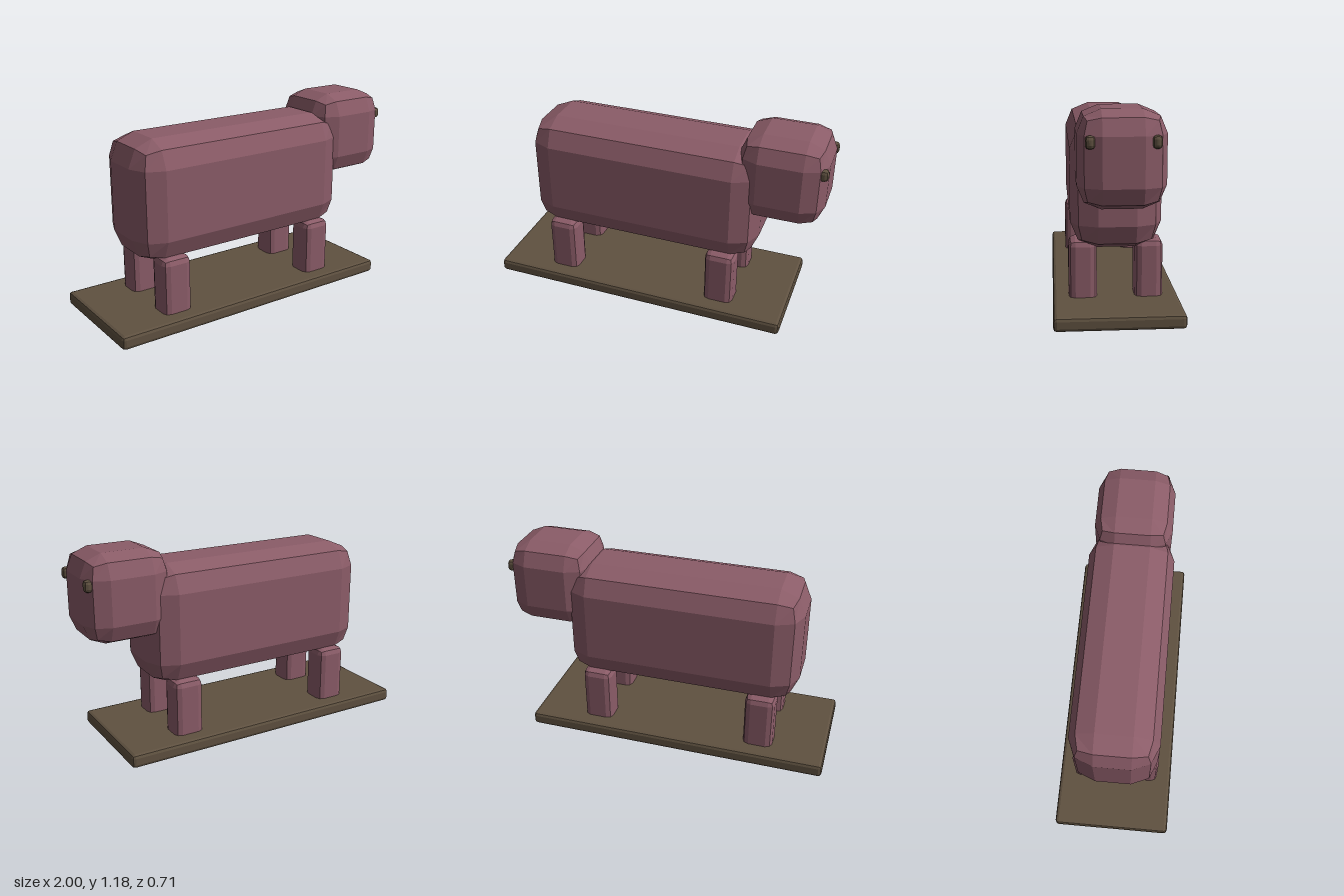
import * as THREE from 'three';
import { RoundedBoxGeometry } from 'three/addons/geometries/RoundedBoxGeometry.js';

const pink = new THREE.MeshStandardMaterial({ color: 0x8b5c68 });
pink.name = 'dusty pink';
const brown = new THREE.MeshStandardMaterial({ color: 0x5f5140 });
brown.name = 'olive brown';

// Faceted bevelled block spanning [min, max] on each axis
function block(name, material, [x0, x1], [y0, y1], [z0, z1], radius) {
  const geometry = new RoundedBoxGeometry(x1 - x0, y1 - y0, z1 - z0, 1, radius);
  geometry.computeVertexNormals(); // unshared vertices, so each facet is flat
  const mesh = new THREE.Mesh(geometry, material);
  mesh.name = name;
  mesh.position.set((x0 + x1) / 2, (y0 + y1) / 2, (z0 + z1) / 2);
  return mesh;
}

export function createModel() {
  const model = new THREE.Group();
  model.name = 'animalFigure';

  // Stand
  model.add(block('base', brown, [-1, 0.845], [0, 0.08], [-0.357, 0.357], 0.02));

  // Body and head, facing +x
  model.add(block('body', pink, [-0.795, 0.635], [0.365, 1.077], [-0.256, 0.256], 0.15));
  model.add(block('head', pink, [0.49, 0.995], [0.67, 1.18], [-0.23, 0.23], 0.125));

  for (const side of [1, -1]) {
    const sideName = side > 0 ? 'Near' : 'Far';
    const span = (inner, outer) => (side > 0 ? [inner, outer] : [-outer, -inner]);

    // Legs, sunk into the stand
    for (const [name, x] of [['frontLeg', 0.435], ['backLeg', -0.59]]) {
      model.add(block(name + sideName, pink, [x - 0.09, x + 0.09], [0.002, 0.412], span(0.107, 0.266), 0.038));
    }

    // Eye
    model.add(block('eye' + sideName, brown, [0.945, 1], [0.992, 1.06], span(0.14, 0.19), 0.02));
  }
  return model;
}
